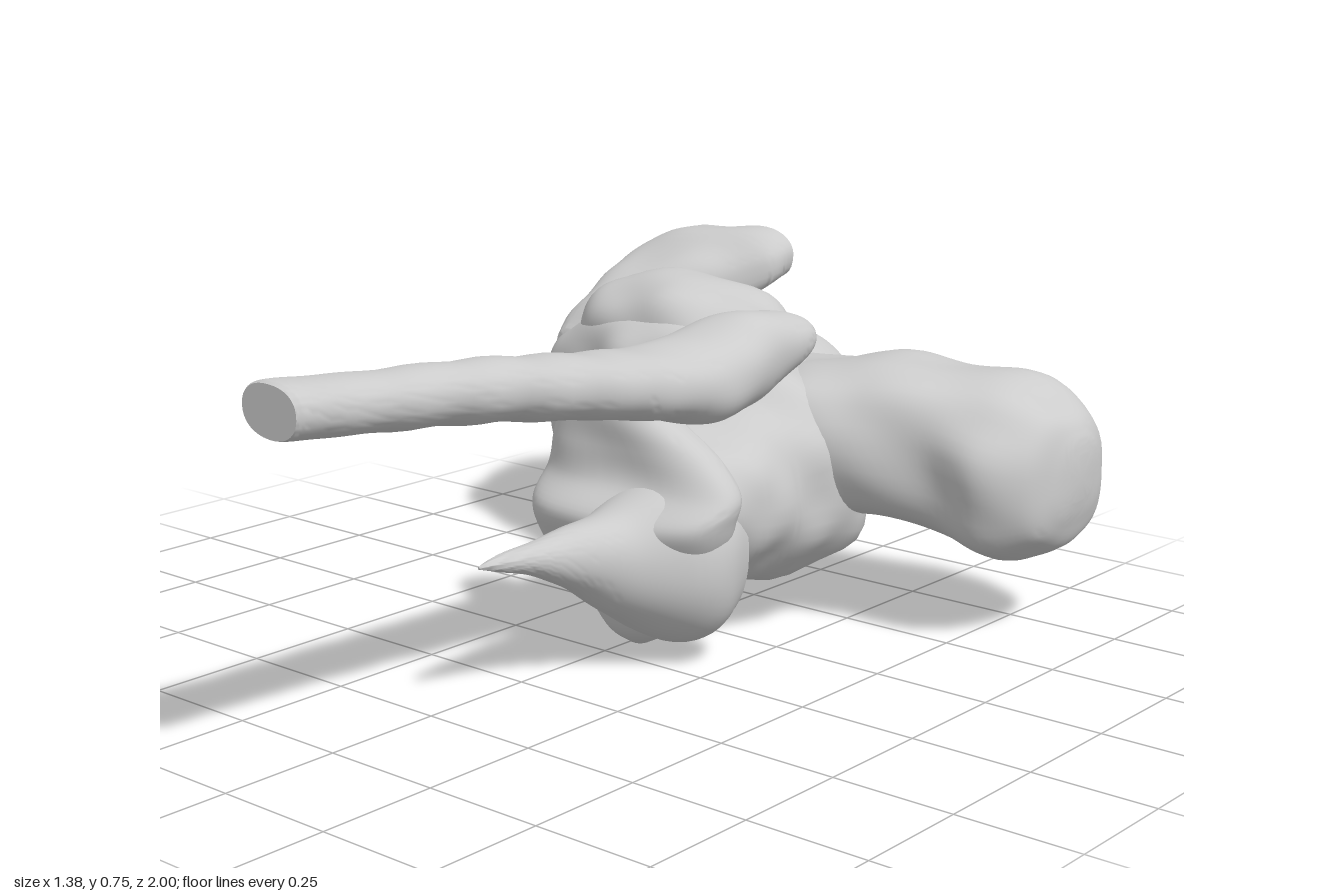
import * as THREE from 'three';
import { toCreasedNormals } from 'three/addons/utils/BufferGeometryUtils.js';

const material = new THREE.MeshStandardMaterial({ color: 0xcccccc });

function add(group, name, geometry) {
  const mesh = new THREE.Mesh(geometry, material);
  mesh.name = name;
  group.add(mesh);
}

// Gentle uneven bone surface
const bump = (x, y, z) =>
  Math.sin(23 * x + 9 * y) * Math.sin(21 * y - 8 * z) + 0.6 * Math.sin(37 * z + 17 * x) * Math.sin(31 * y + 5);

// Order of (t, a, b) as x, y, z for each lofting axis
const toXYZ = {
  x: (t, a, b) => [t, a, b],
  y: (t, a, b) => [b, t, a],
  z: (t, a, b) => [a, b, t],
};

// Smooth loft along an axis. Section: [t, aMin, aMax, bMin, bMax], t ascending.
function loft(axis, sections, { power = 0.85, rough = 0.006, rings = 60, sides = 48 } = {}) {
  const n = sections.length - 1;
  const spline = (k, f) => {
    const i = Math.min(Math.floor(f), n - 1), u = f - i;
    const p = (j) => sections[Math.max(0, Math.min(n, j))][k];
    const a = p(i - 1), b = p(i), c = p(i + 1), d = p(i + 2);
    return b + 0.5 * u * (c - a + u * (2 * a - 5 * b + 4 * c - d + u * (3 * (b - c) + d - a)));
  };
  const pos = [], index = [];
  const place = toXYZ[axis];
  const round = (v) => Math.sign(v) * Math.abs(v) ** power;
  for (let i = 0; i <= rings; i++) {
    const [t, a0, a1, b0, b1] = [0, 1, 2, 3, 4].map((k) => spline(k, (i / rings) * n));
    for (let j = 0; j < sides; j++) {
      const w = (j / sides) * Math.PI * 2, ca = round(Math.cos(w)), sb = round(Math.sin(w));
      const a = (a0 + a1) / 2 + ((a1 - a0) / 2) * ca, b = (b0 + b1) / 2 + ((b1 - b0) / 2) * sb;
      const r = rough * bump(...place(t, a, b));
      pos.push(...place(t, a + r * ca, b + r * sb));
      if (i < rings) {
        const p = i * sides + j, q = i * sides + ((j + 1) % sides);
        index.push(p, q, q + sides, p, q + sides, p + sides);
      }
    }
  }
  // End caps
  for (const [s, first] of [[sections[0], 0], [sections[n], rings * sides]]) {
    const c = pos.length / 3;
    pos.push(...place(s[0], (s[1] + s[2]) / 2, (s[3] + s[4]) / 2));
    for (let j = 0; j < sides; j++) {
      const p = first + j, q = first + ((j + 1) % sides);
      first ? index.push(c, p, q) : index.push(c, q, p);
    }
  }
  const g = new THREE.BufferGeometry();
  g.setAttribute('position', new THREE.Float32BufferAttribute(pos, 3));
  g.setIndex(index);
  return toCreasedNormals(g, 0.9);
}

// Rounded lump
function lump(group, name, [x, y, z], [rx, ry, rz]) {
  add(group, name, new THREE.SphereGeometry(1, 32, 24).scale(rx, ry, rz).translate(x, y, z));
}

export function createModel() {
  const model = new THREE.Group();
  model.name = 'boneModel';

  // Cross body from the hollow-backed end (-x) to the rounded head (+x)
  add(model, 'crossBody', loft('x', [
    [-0.69, 0.29, 0.43, -0.72, -0.62],
    [-0.675, 0.21, 0.48, -0.76, -0.57],
    [-0.6, 0.13, 0.53, -0.77, -0.53],
    [-0.45, 0.1, 0.57, -0.77, -0.47],
    [-0.33, 0.1, 0.57, -0.82, -0.42],
    [-0.2, 0.14, 0.56, -0.84, -0.37],
    [-0.1, 0.19, 0.54, -0.82, -0.34],
    [0.02, 0.23, 0.52, -0.82, -0.33],
    [0.2, 0.23, 0.55, -0.82, -0.34],
    [0.32, 0.23, 0.56, -0.82, -0.39],
    [0.45, 0.2, 0.55, -0.85, -0.45],
    [0.57, 0.17, 0.53, -0.87, -0.46],
    [0.65, 0.2, 0.48, -0.83, -0.52],
    [0.68, 0.26, 0.43, -0.78, -0.59],
    [0.69, 0.3, 0.39, -0.73, -0.64],
  ], { power: 0.8, rings: 90, rough: 0.008 }));

  // Ridge along the top of the hollow-backed half
  add(model, 'upperRidge', loft('x', [
    [-0.64, 0.44, 0.52, -0.78, -0.64],
    [-0.58, 0.42, 0.59, -0.82, -0.58],
    [-0.48, 0.4, 0.64, -0.86, -0.54],
    [-0.35, 0.38, 0.65, -0.89, -0.53],
    [-0.22, 0.36, 0.62, -0.9, -0.53],
    [-0.13, 0.36, 0.59, -0.84, -0.53],
    [-0.04, 0.38, 0.55, -0.81, -0.56],
    [0.06, 0.4, 0.5, -0.78, -0.62],
  ], { power: 0.95, rough: 0.009 }));

  // Neck reaching forward to the shield
  add(model, 'neck', loft('z', [
    [-0.7, -0.26, 0.16, 0.2, 0.5],
    [-0.6, -0.3, 0.24, 0.12, 0.53],
    [-0.5, -0.31, 0.29, 0.08, 0.54],
    [-0.38, -0.24, 0.29, 0.09, 0.55],
    [-0.28, -0.17, 0.27, 0.11, 0.51],
    [-0.18, -0.14, 0.27, 0.14, 0.47],
    [-0.1, -0.1, 0.25, 0.18, 0.45],
  ], { rough: 0.008 }));

  // Flange rising backwards to a flat cut end
  add(model, 'upperFlange', loft('z', [
    [-1, -0.61, -0.28, 0.58, 0.72],
    [-0.93, -0.66, -0.29, 0.56, 0.71],
    [-0.85, -0.685, -0.37, 0.52, 0.67],
    [-0.75, -0.685, -0.45, 0.45, 0.62],
    [-0.65, -0.685, -0.54, 0.38, 0.56],
    [-0.6, -0.67, -0.6, 0.42, 0.5],
  ], { power: 0.75 }));

  // Lobes under and behind the -x end
  lump(model, 'lowerFrontLobe', [-0.28, 0.13, -0.63], [0.13, 0.1, 0.14]);
  lump(model, 'lowerBackLobe', [-0.48, 0.19, -0.73], [0.17, 0.09, 0.14]);
  lump(model, 'middleBackLobe', [-0.26, 0.38, -0.77], [0.16, 0.1, 0.1]);

  // Shield in front of the neck, swelling forward at mid height
  add(model, 'shield', loft('y', [
    [0, -0.13, -0.08, -0.01, 0.03],
    [0.04, -0.18, -0.03, -0.06, 0.09],
    [0.13, -0.2, 0.01, -0.13, 0.17],
    [0.23, -0.16, 0.06, -0.18, 0.25],
    [0.3, -0.14, 0.08, -0.195, 0.28],
    [0.36, -0.14, 0.015, -0.2, 0.285],
    [0.43, -0.135, 0, -0.185, 0.22],
    [0.5, -0.135, -0.005, -0.15, 0.11],
    [0.56, -0.135, -0.03, -0.09, 0.06],
    [0.6, -0.13, -0.09, -0.03, 0.02],
  ], { power: 0.8, rough: 0.004 }));

  // Pointed spike sweeping forward out of the shield's +x side
  add(model, 'spike', loft('z', [
    [-0.14, -0.06, 0.26, 0.04, 0.4],
    [-0.07, -0.05, 0.28, 0.03, 0.39],
    [0, -0.03, 0.26, 0.06, 0.37],
    [0.1, 0, 0.18, 0.125, 0.33],
    [0.2, 0.02, 0.13, 0.195, 0.315],
    [0.3, 0.035, 0.1, 0.245, 0.305],
    [0.4, 0.055, 0.08, 0.275, 0.3],
    [0.435, 0.064, 0.072, 0.285, 0.295],
  ], { power: 0.95, rough: 0.002 }));

  // Long rod with a swollen back end resting on the shield
  add(model, 'rod', loft('z', [
    [-0.385, 0.16, 0.21, 0.61, 0.645],
    [-0.37, 0.12, 0.245, 0.585, 0.665],
    [-0.3, 0.08, 0.26, 0.545, 0.685],
    [-0.2, 0.055, 0.265, 0.505, 0.69],
    [-0.08, 0.04, 0.27, 0.49, 0.665],
    [0.05, 0.05, 0.25, 0.515, 0.66],
    [0.2, 0.06, 0.24, 0.545, 0.675],
    [0.5, 0.075, 0.23, 0.595, 0.71],
    [0.8, 0.085, 0.228, 0.63, 0.735],
    [0.97, 0.085, 0.225, 0.65, 0.753],
    [1, 0.09, 0.22, 0.655, 0.75],
  ], { power: 0.92, rough: 0.004, rings: 90 }));

  return model;
}
